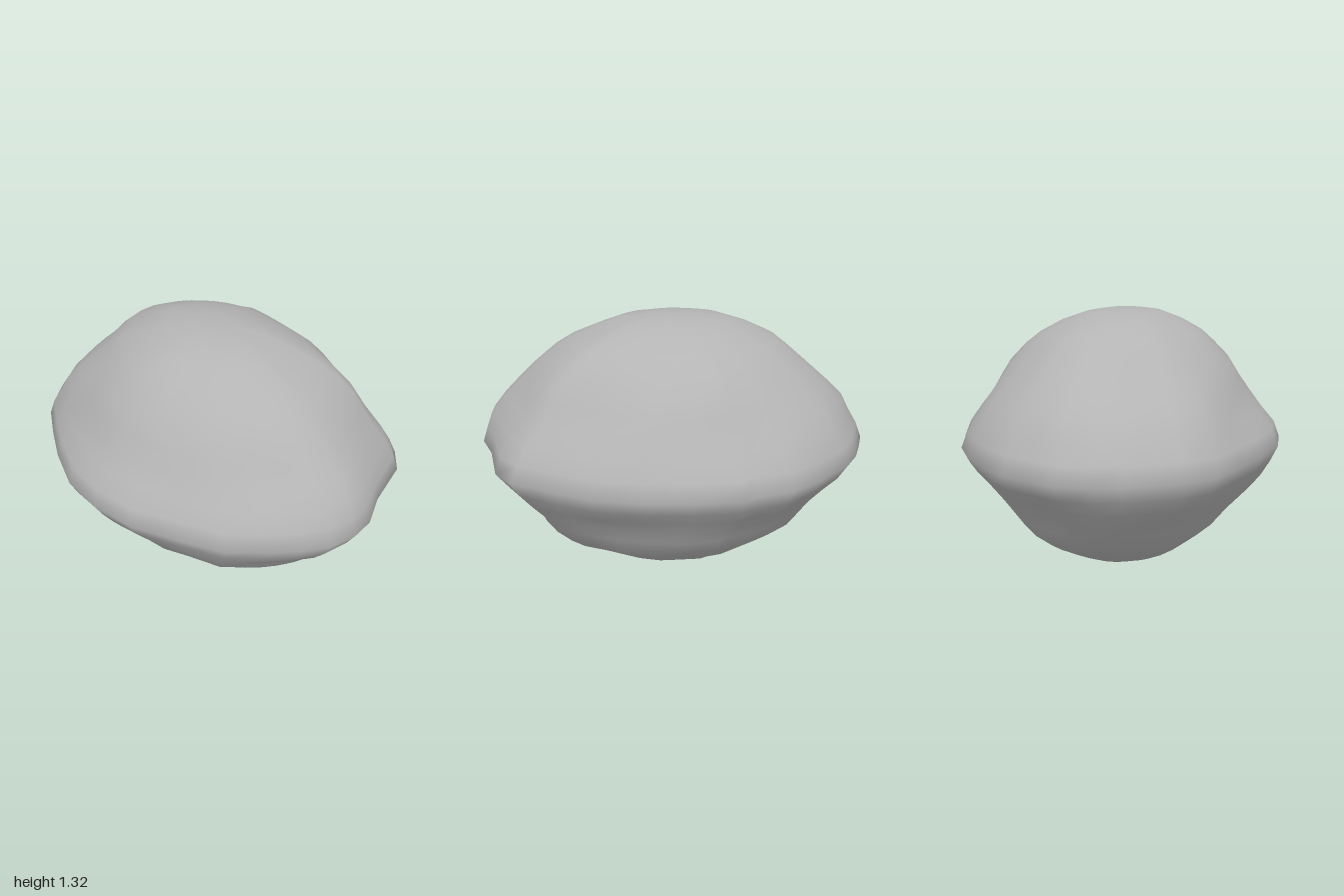
import * as THREE from 'three';

// Equator outline [x, z], running from the left side round by the front to the back
const EQUATOR = [
  [1, 0], [1, 0.12], [0.96, 0.25], [0.88, 0.36], [0.78, 0.47], [0.64, 0.6], [0.44, 0.69], [0.22, 0.78],
  [0, 0.81], [-0.22, 0.79], [-0.44, 0.7], [-0.62, 0.6], [-0.78, 0.5], [-0.88, 0.36], [-0.97, 0.12],
  [-1, 0], [-1, -0.16], [-0.95, -0.28], [-0.88, -0.41], [-0.8, -0.51], [-0.63, -0.65], [-0.46, -0.75],
  [-0.3, -0.78], [-0.22, -0.82], [0, -0.82], [0.22, -0.79], [0.44, -0.73], [0.63, -0.63], [0.81, -0.53],
  [0.9, -0.42], [0.95, -0.16],
];

// Height, then reach towards +x, -x, +z and -z as a share of the equator
const ROWS = [
  [0.01, 0.11, 0.13, 0.16, 0.1],
  [0.04, 0.28, 0.33, 0.28, 0.28],
  [0.1, 0.45, 0.45, 0.42, 0.47],
  [0.18, 0.63, 0.59, 0.56, 0.58],
  [0.26, 0.71, 0.69, 0.66, 0.69],
  [0.34, 0.78, 0.76, 0.74, 0.74],
  [0.42, 0.83, 0.83, 0.82, 0.8],
  [0.5, 0.9, 0.9, 0.89, 0.87],
  [0.58, 0.96, 0.96, 0.95, 0.95],
  [0.66, 1, 1, 1, 1],
  [0.74, 0.97, 0.97, 0.96, 0.96],
  [0.82, 0.93, 0.92, 0.87, 0.9],
  [0.9, 0.86, 0.87, 0.8, 0.83],
  [0.98, 0.79, 0.78, 0.74, 0.77],
  [1.06, 0.72, 0.69, 0.68, 0.7],
  [1.14, 0.63, 0.6, 0.58, 0.6],
  [1.2, 0.53, 0.52, 0.5, 0.51],
  [1.26, 0.38, 0.39, 0.37, 0.38],
  [1.3, 0.27, 0.27, 0.24, 0.24],
  [1.315, 0.13, 0.13, 0.12, 0.12],
];

// Shallow hollows: centre x, y, z, radius, depth
const HOLLOWS = [
  [0.86, 0.46, -0.28, 0.18, 0.08],
  [-0.84, 0.47, -0.2, 0.17, 0.05],
  [-0.5, 0.34, 0.52, 0.13, 0.025],
  [0.62, 0.9, -0.45, 0.2, 0.03],
];

function surfacePoint([ex, ez], [y, left, right, front, back]) {
  const c2 = ex * ex / (ex * ex + ez * ez);
  let s = (ex > 0 ? left : right) * c2 + (ez > 0 ? front : back) * (1 - c2);
  // Gentle lumps, fading at the equator and poles
  const a = Math.atan2(ez, ex);
  const fade = Math.min(1, Math.abs(y - 0.66) * 4) * s;
  s += 0.01 * fade * (Math.sin(5 * a + 9 * y) + Math.sin(8 * a - 13 * y));
  let cut = 0;
  for (const [hx, hy, hz, r, depth] of HOLLOWS) {
    const d2 = (ex * s - hx) ** 2 + (y - hy) ** 2 + (ez * s - hz) ** 2;
    cut += depth * Math.exp(-d2 / (r * r));
  }
  s -= cut;
  return [ex * s, y, ez * s];
}

export function createModel() {
  const group = new THREE.Group();
  group.name = 'asteroid';
  const rock = new THREE.MeshStandardMaterial({ color: 0xb4b4b4 });
  rock.name = 'grey rock';

  const n = EQUATOR.length;
  const position = [];
  const index = [];
  for (const row of ROWS) {
    for (const e of EQUATOR) position.push(...surfacePoint(e, row));
  }
  const bottom = ROWS.length * n;
  const top = bottom + 1;
  position.push(0.03, 0, 0, 0, 1.32, 0);

  // Stitch neighbouring rings, then close both poles
  for (let i = 0; i < n; i++) {
    const k = (i + 1) % n;
    for (let j = 0; j < ROWS.length - 1; j++) {
      const a = j * n + k, b = j * n + i, c = b + n, d = a + n;
      index.push(a, b, c, a, c, d);
    }
    const last = (ROWS.length - 1) * n;
    index.push(bottom, i, k, top, last + k, last + i);
  }

  const geometry = new THREE.BufferGeometry();
  geometry.setAttribute('position', new THREE.Float32BufferAttribute(position, 3));
  geometry.setIndex(index);
  geometry.computeVertexNormals();

  const body = new THREE.Mesh(geometry, rock);
  body.name = 'rockBody';
  group.add(body);
  return group;
}
